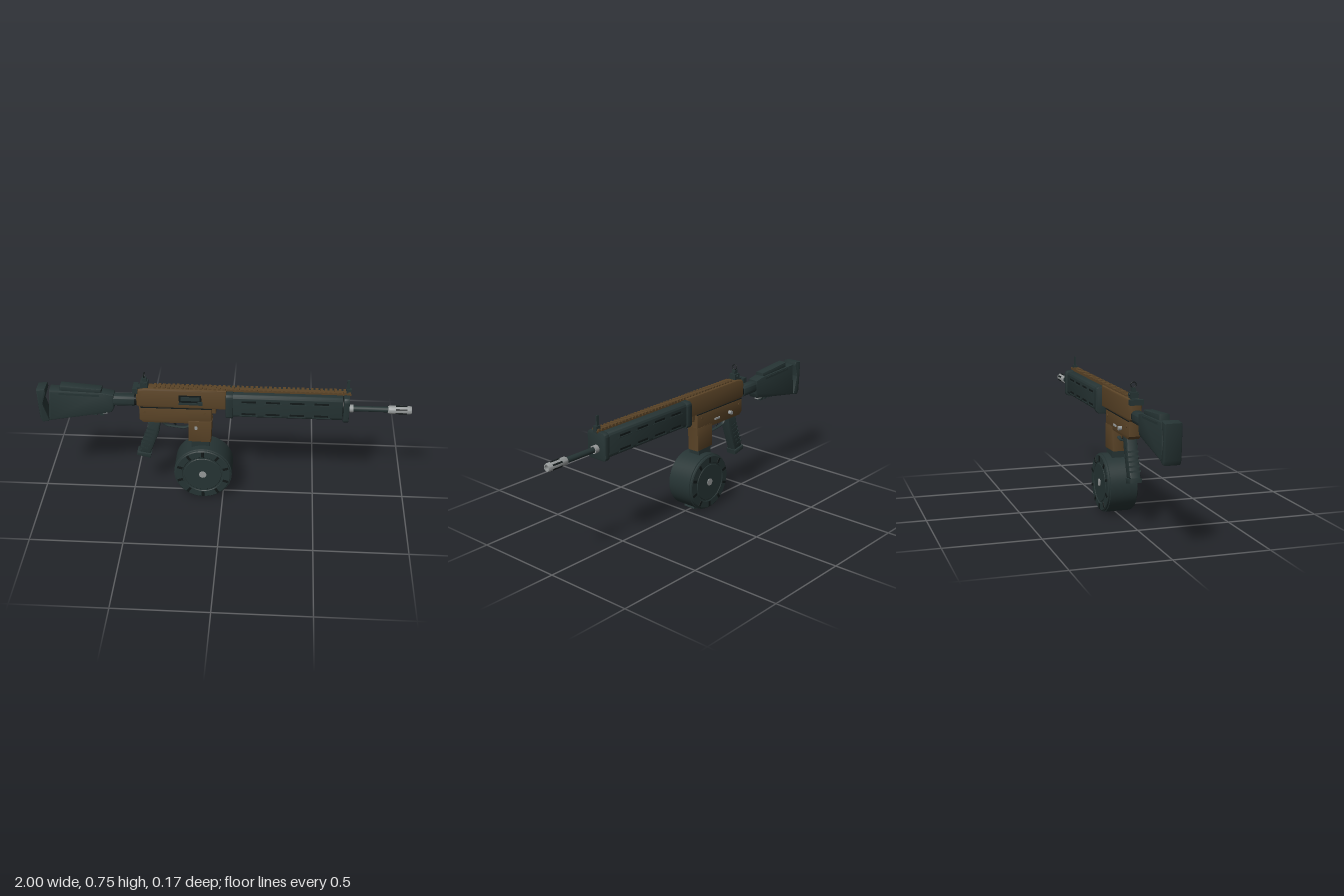
import * as THREE from 'three';
import { RoundedBoxGeometry } from 'three/addons/geometries/RoundedBoxGeometry.js';
import { toCreasedNormals } from 'three/addons/utils/BufferGeometryUtils.js';

export function createModel() {
  const mat = (name, color) => Object.assign(new THREE.MeshStandardMaterial({ color }), { name });
  const dark = mat('dark polymer', 0x263434);
  const black = mat('black', 0x121919);
  const tan = mat('bronze brown', 0x5b4427);
  const silver = mat('steel', 0x969a9a);
  const model = new THREE.Group();
  model.name = 'toyRifle';

  // ---- helpers ----
  const add = (name, geo, m, x = 0, y = 0, z = 0) => {
    const mesh = new THREE.Mesh(geo, m);
    mesh.name = name;
    mesh.position.set(x, y, z);
    model.add(mesh);
    return mesh;
  };
  // box given by its x, y and z limits
  const box = (name, m, x0, x1, y0, y1, z0, z1) =>
    add(name, new THREE.BoxGeometry(x1 - x0, y1 - y0, z1 - z0), m, (x0 + x1) / 2, (y0 + y1) / 2, (z0 + z1) / 2);
  const soft = (name, m, x0, x1, y0, y1, half, r) =>
    add(name, new RoundedBoxGeometry(x1 - x0, y1 - y0, half * 2, 2, r), m, (x0 + x1) / 2, (y0 + y1) / 2);
  // side profile, bevelled, centred on z = 0
  const slab = (name, m, pts, half, bevel = 0.008, taper) => {
    const geo = new THREE.ExtrudeGeometry(new THREE.Shape(pts.map(p => new THREE.Vector2(...p))), {
      depth: 2 * (half - bevel), bevelThickness: bevel, bevelSize: bevel, bevelOffset: -bevel, bevelSegments: 2,
    }).translate(0, 0, bevel - half);
    if (taper) {
      const p = geo.attributes.position;
      for (let i = 0; i < p.count; i++) p.setZ(i, p.getZ(i) * taper(p.getX(i)));
    }
    return add(name, toCreasedNormals(geo, 0.6), m);
  };
  const rod = (name, m, x0, x1, y, r, seg = 20) =>
    add(name, new THREE.CylinderGeometry(r, r, x1 - x0, seg).rotateZ(Math.PI / 2), m, (x0 + x1) / 2, y);
  const pin = (name, m, x, y, z, r, depth) =>
    add(name, new THREE.CylinderGeometry(r, r, depth, 20).rotateX(Math.PI / 2), m, x, y, z);
  // rounded rectangle cross-section running along x
  const sleeve = (name, m, x0, x1, y0, y1, w, r, bevel) => {
    const s = new THREE.Shape(), a = w - r, b = y0 + r, c = y1 - r;
    s.absarc(a, b, r, -Math.PI / 2, 0);
    s.absarc(a, c, r, 0, Math.PI / 2);
    s.absarc(-a, c, r, Math.PI / 2, Math.PI);
    s.absarc(-a, b, r, Math.PI, Math.PI * 1.5);
    const geo = new THREE.ExtrudeGeometry(s, {
      depth: x1 - x0 - 2 * bevel, bevelThickness: bevel, bevelSize: bevel, bevelOffset: -bevel, bevelSegments: 2, curveSegments: 6,
    }).translate(0, 0, x0 + bevel).rotateY(Math.PI / 2);
    return add(name, toCreasedNormals(geo, 0.6), m);
  };

  // ---- stock ----
  slab('stock', dark, [[-0.945, 0.45], [-0.6, 0.513], [-0.585, 0.54], [-0.585, 0.62], [-0.65, 0.632], [-0.93, 0.64]],
    0.038, 0.01, x => THREE.MathUtils.mapLinear(x, -0.945, -0.585, 1, 0.86));
  slab('buttPad', dark, [[-0.998, 0.645], [-0.95, 0.652], [-0.946, 0.63], [-0.968, 0.56], [-0.94, 0.46], [-0.945, 0.45], [-0.978, 0.445], [-0.99, 0.47]], 0.044, 0.008);
  slab('cheekRest', dark, [[-0.875, 0.63], [-0.65, 0.622], [-0.65, 0.65], [-0.87, 0.667]], 0.027, 0.007);
  for (const s of [-1, 1]) {
    const rib = box('stockRib', dark, -0.89, -0.66, 0.615, 0.627, s * 0.033 - 0.004, s * 0.033 + 0.004);
    rib.rotation.z = -0.03;
  }
  box('stockRail', dark, -0.8, -0.63, 0.492, 0.5, -0.012, 0.012);
  for (let i = 0; i < 5; i++) box('stockRailTooth', dark, -0.81 + i * 0.036, -0.79 + i * 0.036, 0.484, 0.495, -0.017, 0.017);
  box('stockLatch', silver, -0.665, -0.626, 0.495, 0.518, -0.013, 0.013);
  sleeve('bufferTube', dark, -0.61, -0.475, 0.55, 0.614, 0.03, 0.022, 0.003);
  sleeve('tubeCollar', black, -0.488, -0.46, 0.555, 0.61, 0.026, 0.02, 0.002);

  // ---- receiver ----
  slab('upperReceiver', tan, [[-0.465, 0.565], [-0.45, 0.553], [0.018, 0.553], [0.018, 0.668], [-0.42, 0.668], [-0.465, 0.655]], 0.033, 0.01);
  slab('lowerReceiver', tan, [[-0.45, 0.475], [-0.43, 0.458], [-0.06, 0.458], [-0.06, 0.556], [-0.45, 0.556]], 0.034, 0.008);
  slab('magazineWell', tan, [[-0.187, 0.48], [-0.187, 0.345], [-0.065, 0.342], [-0.058, 0.48]], 0.037, 0.008);
  soft('frontLug', tan, -0.065, -0.038, 0.515, 0.56, 0.015, 0.005);
  box('seam', black, -0.445, -0.06, 0.552, 0.556, -0.0345, 0.0345);

  // ejection port and bolt on the front side
  box('ejectionPort', black, -0.235, -0.115, 0.588, 0.636, 0.03, 0.0345);
  box('portBolt', dark, -0.225, -0.125, 0.605, 0.628, 0.033, 0.037);
  box('portDoor', dark, -0.235, -0.115, 0.582, 0.592, 0.031, 0.041);
  box('boltHandle', dark, -0.135, -0.108, 0.584, 0.6, 0.033, 0.046);

  // controls
  pin('magazineRelease', silver, -0.145, 0.438, 0.039, 0.009, 0.014);
  pin('selectorHub', silver, -0.335, 0.5, -0.042, 0.011, 0.022);
  box('selectorLever', silver, -0.35, -0.318, 0.497, 0.504, -0.05, -0.042);
  soft('boltCatch', silver, -0.25, -0.205, 0.488, 0.5, 0.003, 0.002).position.z = -0.036;
  for (const s of [-1, 1]) for (const x of [-0.42, -0.1]) pin('takedownPin', tan, x, 0.525, s * 0.034, 0.008, 0.006);

  // charging handle
  box('chargingHandle', dark, -0.482, -0.455, 0.64, 0.668, -0.036, 0.036);
  box('chargingHandleStem', dark, -0.46, -0.4, 0.648, 0.67, -0.018, 0.018);

  // ---- top rail ----
  box('topRail', tan, -0.45, 0.675, 0.655, 0.668, -0.015, 0.015);
  for (let i = 0; i < 43; i++) {
    const x = -0.37 + i * 0.0245;
    box('railTooth', tan, x, x + 0.014, 0.664, 0.676, -0.021, 0.021);
  }

  // ---- hand guard ----
  sleeve('handGuard', dark, 0.018, 0.633, 0.52, 0.658, 0.056, 0.022, 0.003);
  sleeve('handGuardRearCap', dark, 0.016, 0.055, 0.512, 0.66, 0.062, 0.022, 0.004);
  sleeve('handGuardFrontCap', dark, 0.638, 0.668, 0.511, 0.66, 0.063, 0.022, 0.004);
  rod('handGuardCore', black, 0.62, 0.645, 0.585, 0.045);
  for (const s of [-1, 1]) for (const y of [0.548, 0.622]) for (let i = 0; i < 4; i++) {
    const x = 0.1 + i * 0.128;
    box('ventSlot', black, x, x + 0.075, y - 0.005, y + 0.005, s * 0.056 - 0.002, s * 0.056 + 0.002);
    box('sideRib', dark, x - 0.01, x + 0.085, y - 0.013, y - 0.008, s * 0.056 - 0.003, s * 0.056 + 0.003);
  }
  for (let i = 0; i < 4; i++) box('bottomSlot', black, 0.1 + i * 0.128, 0.175 + i * 0.128, 0.518, 0.522, -0.012, 0.012);

  // ---- barrel and muzzle ----
  rod('barrel', dark, 0.63, 0.96, 0.57, 0.015);
  rod('barrelCollar', silver, 0.664, 0.692, 0.57, 0.021);
  const muzzle = [[0.013, 0], [0.019, 0], [0.022, 0.008], [0.022, 0.117], [0.019, 0.125], [0.013, 0.125], [0.013, 0.07]];
  add('muzzleBrake', toCreasedNormals(new THREE.LatheGeometry(muzzle.map(p => new THREE.Vector2(...p)), 24).rotateZ(-Math.PI / 2), 0.5),
    silver, 0.875, 0.57);
  for (let i = 0; i < 6; i++) {
    const a = (i / 6) * Math.PI * 2;
    const slot = add('muzzleSlot', new THREE.BoxGeometry(0.06, 0.004, 0.009), black, 0.945, 0.57 + Math.cos(a) * 0.0215, Math.sin(a) * 0.0215);
    slot.rotation.x = a;
  }

  // ---- sights ----
  box('frontSightBase', dark, 0.648, 0.676, 0.655, 0.69, -0.012, 0.012);
  box('frontSightPost', dark, 0.65, 0.665, 0.685, 0.742, -0.004, 0.004);
  box('rearSightBase', dark, -0.44, -0.4, 0.665, 0.7, -0.02, 0.02);
  box('rearSightBlock', dark, -0.432, -0.408, 0.7, 0.721, -0.01, 0.01);
  add('rearSightRing', new THREE.TorusGeometry(0.0145, 0.0022, 8, 28).rotateY(Math.PI / 2), black, -0.42, 0.736);
  const knob = pin('rearSightKnob', dark, -0.42, 0.687, 0, 0.009, 0.052);
  knob.scale.y = 0.9;

  // ---- grip and trigger ----
  slab('grip', dark, [[-0.402, 0.465], [-0.335, 0.465], [-0.35, 0.385], [-0.4, 0.25], [-0.463, 0.263], [-0.425, 0.36]], 0.029, 0.009);
  slab('gripBase', dark, [[-0.472, 0.262], [-0.475, 0.24], [-0.4, 0.222], [-0.394, 0.25]], 0.032, 0.005);
  for (let i = 0; i < 6; i++) {
    const rib = box('gripRib', dark, -0.455 + i * 0.009, -0.41 + i * 0.009, 0.285 + i * 0.024, 0.295 + i * 0.024, -0.031, 0.031);
    rib.rotation.z = -0.25;
  }
  const guard = new THREE.CatmullRomCurve3([[-0.338, 0.46], [-0.315, 0.43], [-0.27, 0.42], [-0.21, 0.415], [-0.183, 0.425]]
    .map(p => new THREE.Vector3(...p, 0)));
  add('triggerGuard', new THREE.TubeGeometry(guard, 20, 0.005, 8).scale(1, 1, 2.2), dark);
  const trigger = new THREE.CatmullRomCurve3([[-0.27, 0.465], [-0.268, 0.445], [-0.257, 0.428]].map(p => new THREE.Vector3(...p, 0)));
  add('trigger', new THREE.TubeGeometry(trigger, 8, 0.005, 8), black);

  // ---- drum magazine ----
  const cx = -0.108, cy = 0.162;
  box('magazineNeck', dark, -0.172, -0.075, 0.28, 0.36, -0.034, 0.034);
  const profile = [[0, -0.083], [0.1, -0.083], [0.103, -0.08], [0.11, -0.08], [0.113, -0.083], [0.148, -0.083], [0.153, -0.079], [0.153, -0.071], [0.159, -0.069]];
  const full = [...profile, ...profile.slice().reverse().map(([r, z]) => [r, -z])];
  add('drum', toCreasedNormals(new THREE.LatheGeometry(full.map(p => new THREE.Vector2(...p)), 48).rotateX(Math.PI / 2), 0.5), dark, cx, cy);
  for (const s of [-1, 1]) {
    pin('drumHub', silver, cx, cy, s * 0.083, 0.02, 0.008);
    for (let i = 0; i < 10; i++) {
      const a = ((i + 0.5) / 10) * Math.PI * 2;
      const lug = add('drumLug', new THREE.BoxGeometry(0.03, 0.014, 0.008), black, cx + Math.cos(a) * 0.131, cy + Math.sin(a) * 0.131, s * 0.082);
      lug.rotation.z = a;
    }
  }
  const tab = box('drumTab', dark, cx + 0.045, cx + 0.075, 0.004, 0.022, -0.035, 0.035);
  tab.rotation.z = 0.4;

  return model;
}
